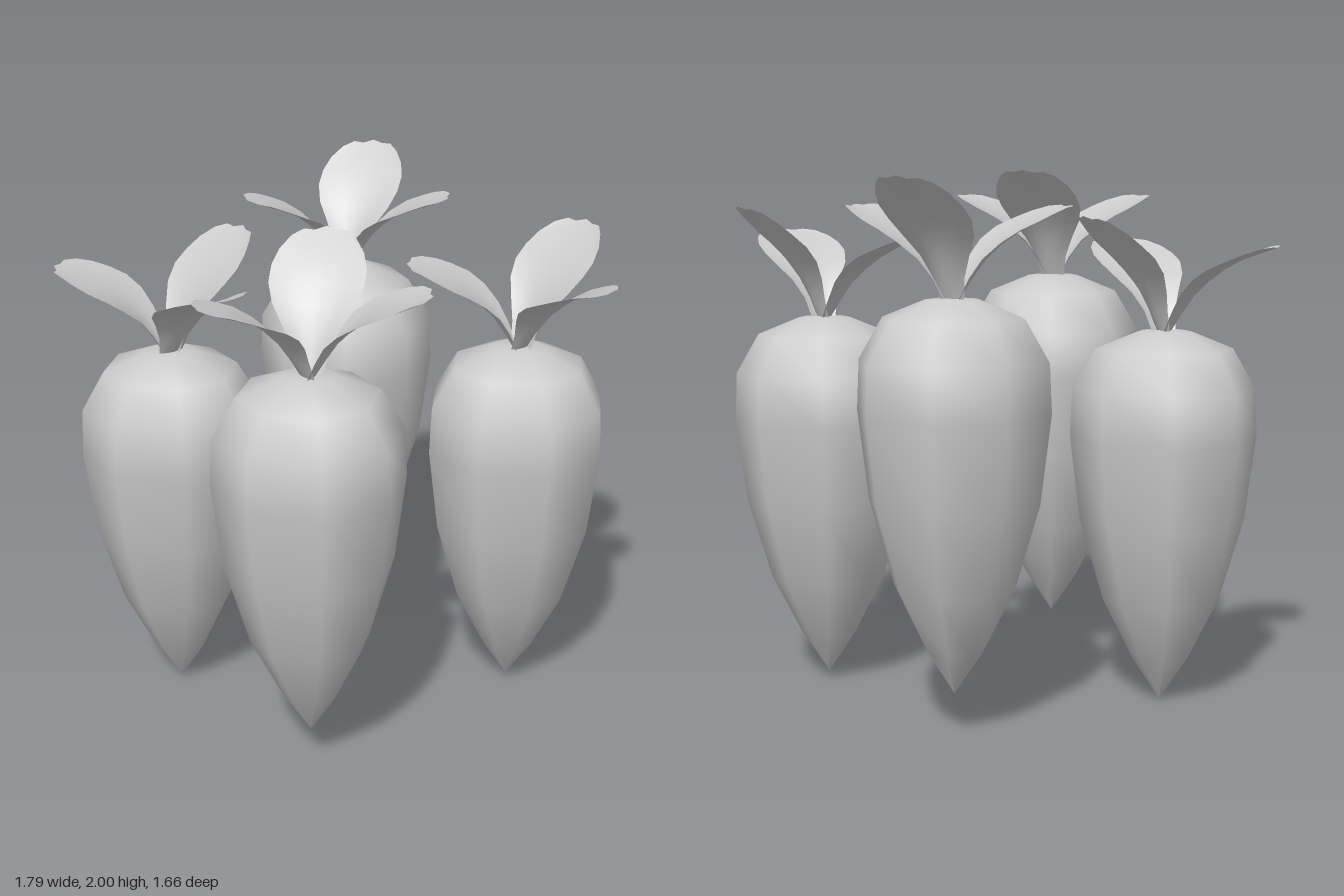
import * as THREE from 'three';

const deg = Math.PI / 180;
const rootMat = new THREE.MeshStandardMaterial({ color: 0xcccccc });
const leafMat = new THREE.MeshStandardMaterial({ color: 0xcccccc, side: THREE.DoubleSide });

// Root: eight-sided lathe, pointed tip to rounded shoulder
const rootProfile = [
  [0, 0], [0.105, 0.16], [0.22, 0.39], [0.31, 0.7], [0.35, 1.02],
  [0.342, 1.2], [0.255, 1.35], [0.1, 1.413], [0, 1.42],
].map(([r, y]) => new THREE.Vector2(r, y));
const rootGeo = new THREE.LatheGeometry(rootProfile, 8);

// Leaf: a spine in the x-y plane, widened along z, slightly cupped, with a scalloped tip
function leafGeometry(spinePoints) {
  const spine = new THREE.CatmullRomCurve3(spinePoints.map(([x, y]) => new THREE.Vector3(x, y, 0)));
  const widths = [0.05, 0.065, 0.1, 0.145, 0.168, 0.168, 0.15, 0.115];
  const tipLength = [0.9, 0.965, 0.965, 1, 0.975, 0.97, 0.9];
  const rows = widths.length - 1, cols = tipLength.length - 1;
  const pos = [], index = [];
  for (let i = 0; i <= rows; i++) {
    for (let j = 0; j <= cols; j++) {
      const t = i / rows, u = (j / cols) * 2 - 1;
      const s = t * (1 + (tipLength[j] - 1) * t * t);
      const p = spine.getPointAt(s), d = spine.getTangentAt(s);
      const cup = 0.03 * u * u * Math.sin(Math.PI * Math.min(t + 0.15, 0.85));
      pos.push(p.x - d.y * cup, p.y + d.x * cup, u * widths[i]);
      if (i < rows && j < cols) {
        const a = i * (cols + 1) + j, b = a + cols + 1;
        index.push(a, a + 1, b, a + 1, b + 1, b);
      }
    }
  }
  const geo = new THREE.BufferGeometry();
  geo.setAttribute('position', new THREE.Float32BufferAttribute(pos, 3));
  geo.setIndex(index);
  geo.computeVertexNormals();
  return geo;
}

const lowLeaf = leafGeometry([[0.02, -0.01], [0.12, 0.14], [0.25, 0.245], [0.43, 0.315]]);
const tallLeaf = leafGeometry([[0.02, -0.01], [0.1, 0.17], [0.2, 0.3], [0.35, 0.425]]);
const leaves = [
  ['tallLeaf', tallLeaf, 2],
  ['frontLeaf', lowLeaf, 95],
  ['sideLeaf', lowLeaf, 227],
];

function carrot(name, x, y, z, yaw) {
  const group = new THREE.Group();
  group.name = name;
  const root = new THREE.Mesh(rootGeo, rootMat);
  root.name = 'root';
  root.rotation.y = 17 * deg;
  group.add(root);
  for (const [leafName, geo, angle] of leaves) {
    const leaf = new THREE.Mesh(geo, leafMat);
    leaf.name = leafName;
    leaf.position.y = 1.42;
    leaf.rotation.y = -angle * deg;
    group.add(leaf);
  }
  group.position.set(x, y, z);
  group.rotation.y = yaw * deg;
  return group;
}

export function createModel() {
  const model = new THREE.Group();
  model.name = 'carrots';
  model.add(
    carrot('backRightCarrot', -0.47, 0, -0.45, 0),
    carrot('backLeftCarrot', 0.42, 0.155, -0.47, 33),
    carrot('frontRightCarrot', -0.48, 0.155, 0.4, 42),
    carrot('frontLeftCarrot', 0.53, 0.025, 0.415, 4),
  );
  return model;
}
